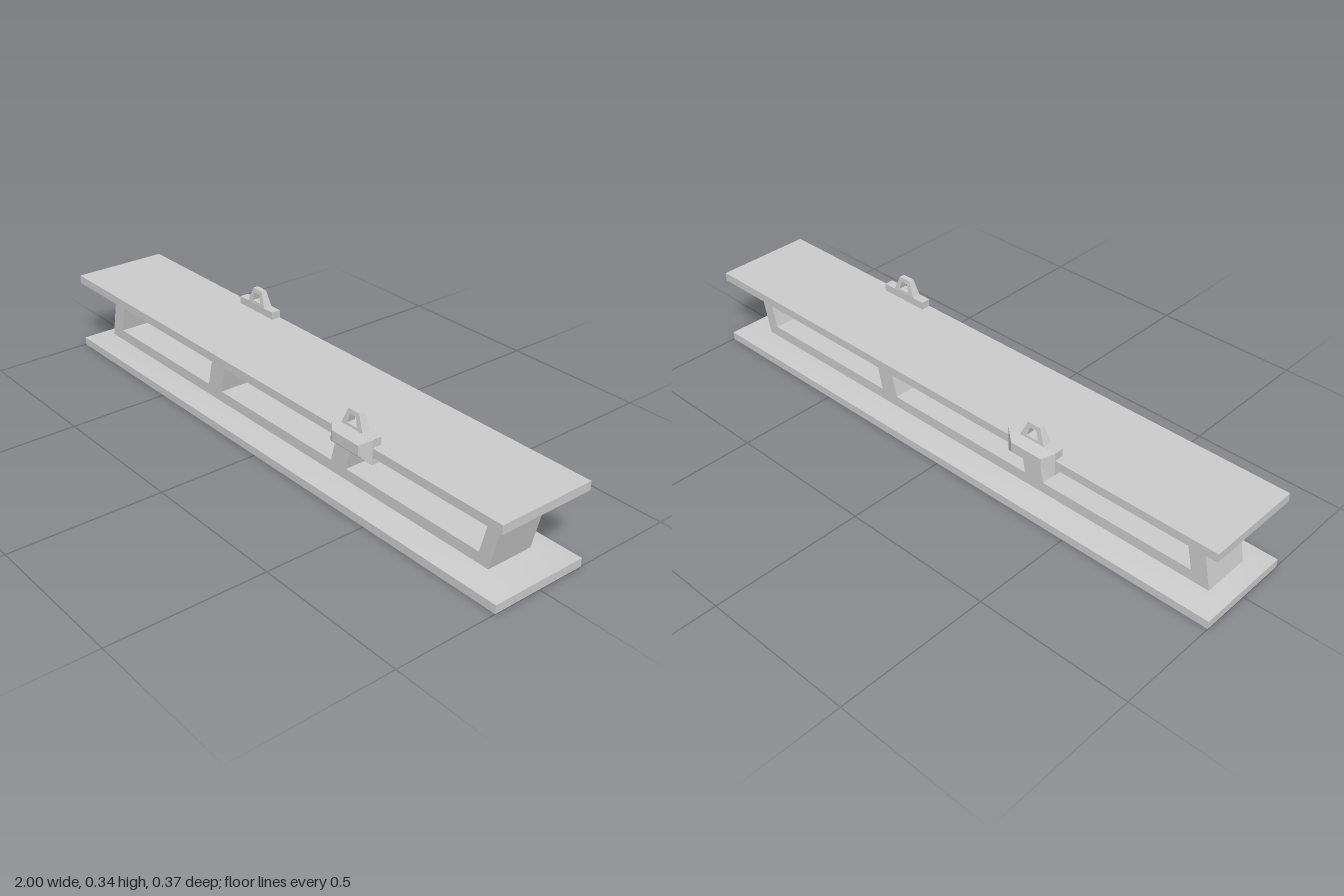
import * as THREE from 'three';
import { toCreasedNormals } from 'three/addons/utils/BufferGeometryUtils.js';

const material = new THREE.MeshStandardMaterial({ color: 0xcccccc });

function part(name, geometry, parent) {
  const mesh = new THREE.Mesh(geometry, material);
  mesh.name = name;
  parent.add(mesh);
  return mesh;
}

// Closed solid through rectangles stacked upwards: [y, x0, x1, halfDepth]
function stack(rings) {
  const pos = [], index = [];
  for (const [y, x0, x1, d] of rings) pos.push(x0, y, d, x1, y, d, x1, y, -d, x0, y, -d);
  const quad = (a, b, c, d) => index.push(a, b, c, a, c, d);
  for (let r = 0; r < rings.length - 1; r++) {
    for (let i = 0; i < 4; i++) {
      const a = r * 4 + i, b = r * 4 + (i + 1) % 4;
      quad(a, b, b + 4, a + 4);
    }
  }
  const t = (rings.length - 1) * 4;
  quad(3, 2, 1, 0);
  quad(t, t + 1, t + 2, t + 3);
  const g = new THREE.BufferGeometry();
  g.setAttribute('position', new THREE.Float32BufferAttribute(pos, 3));
  g.setIndex(index);
  return toCreasedNormals(g, 0.6);
}

// Four-sided outline from bottom-left, bottom-right, top-right, top-left x values
function outline(Type, y0, y1, bl, br, tr, tl) {
  const path = new Type();
  path.moveTo(bl, y0).lineTo(br, y0).lineTo(tr, y1).lineTo(tl, y1).closePath();
  return path;
}

function extrude(shape, depth) {
  const g = new THREE.ExtrudeGeometry(shape, { depth, bevelEnabled: false });
  return g.translate(0, 0, -depth / 2);
}

// Clamp gripping the edge of the top flange, facing +z
function createClamp() {
  const clamp = new THREE.Group();
  clamp.name = 'clamp';
  const w = 0.086;

  // Jaws above and below the flange
  part('upperJaw', new THREE.BoxGeometry(w * 2, 0.026, 0.031), clamp).position.set(0, 0.277, 0.1475);
  part('lowerJaw', new THREE.BoxGeometry(w * 2, 0.024, 0.031), clamp).position.set(0, 0.2245, 0.1475);

  // Chamfered outer plate
  const plate = stack([[0, -w, w, 0.0385], [0.024, -0.055, 0.055, 0.016]]);
  plate.rotateX(Math.PI / 2);
  part('outerPlate', plate, clamp).position.set(0, 0.2512, 0.163);

  // Tapered lifting eye
  const shape = outline(THREE.Shape, 0, 0.05, -0.043, 0.043, 0.022, -0.022);
  shape.holes.push(outline(THREE.Path, 0.008, 0.036, -0.02, 0.02, 0.012, -0.012));
  const eye = extrude(shape, 0.03);
  const p = eye.attributes.position;
  for (let i = 0; i < p.count; i++) p.setZ(i, p.getZ(i) * (1 - 8 * p.getY(i)));
  eye.computeVertexNormals();
  part('liftingEye', eye, clamp).position.set(0, 0.29, 0.1475);
  return clamp;
}

export function createModel() {
  const model = new THREE.Group();
  model.name = 'girder';

  // Flanges, sloping in to meet the web
  part('bottomFlange', stack([
    [0, -1, 1, 0.163], [0.027, -1, 1, 0.163], [0.039, -0.94, 0.893, 0.08],
  ]), model);
  part('topFlange', stack([
    [0.227, -0.9, 0.936, 0.08], [0.237, -1, 1, 0.163], [0.265, -1, 1, 0.163],
  ]), model);

  // Leaning web with three openings
  const web = outline(THREE.Shape, 0.039, 0.227, -0.94, 0.893, 0.936, -0.9);
  for (const [bl, br] of [[-0.877, -0.353], [-0.283, 0.262], [0.328, 0.856]]) {
    web.holes.push(outline(THREE.Path, 0.075, 0.198, bl, br, br + 0.03, bl + 0.027));
  }
  part('web', extrude(web, 0.16), model);

  // One clamp on each long edge
  const front = createClamp();
  front.name = 'frontClamp';
  front.position.x = 0.442;
  const back = createClamp();
  back.name = 'backClamp';
  back.position.x = -0.375;
  back.rotation.y = Math.PI;
  model.add(front, back);
  return model;
}
